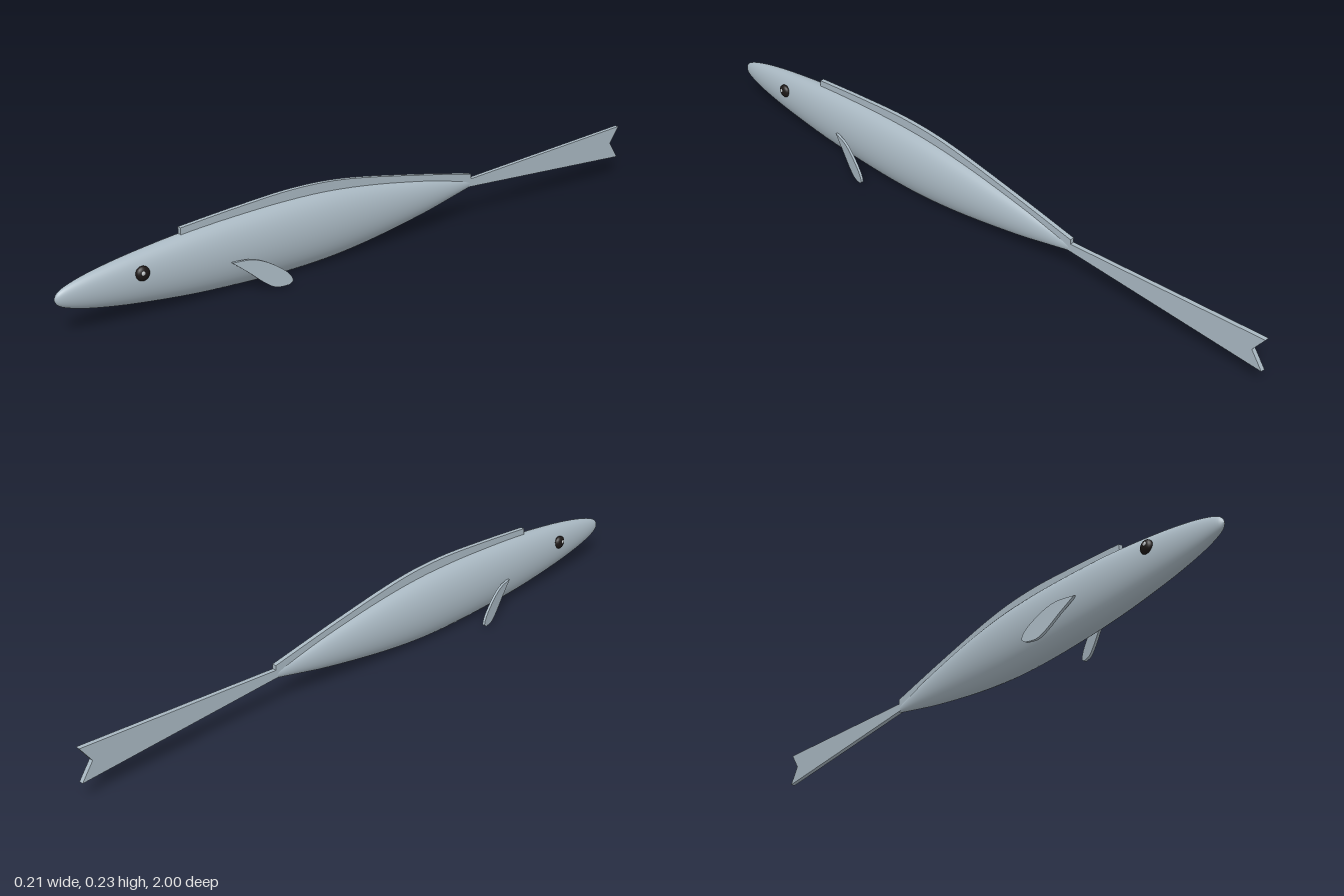
import * as THREE from 'three';

const skin = new THREE.MeshStandardMaterial({ color: 0xa9b8c2 });
skin.name = 'silver skin';
const dark = new THREE.MeshStandardMaterial({ color: 0x1c1716 });
dark.name = 'eye black';
const light = new THREE.MeshStandardMaterial({ color: 0xc4c8ca });
light.name = 'eye glint';

const MID_Y = 0.104;
const vectors = (list) => list.map(([a, b]) => new THREE.Vector2(a, b));

// Flat plate drawn in the (z, y) plane, centred on x = 0
function plate(shape, thickness, name) {
  const geometry = new THREE.ExtrudeGeometry(shape, { depth: thickness, bevelEnabled: false, curveSegments: 8 });
  geometry.translate(0, 0, -thickness / 2);
  geometry.rotateY(-Math.PI / 2);
  const mesh = new THREE.Mesh(geometry, skin);
  mesh.name = name;
  return mesh;
}

export function createModel() {
  const fish = new THREE.Group();
  fish.name = 'fish';

  // Body: turned profile (radius, z), narrowed sideways
  const profile = new THREE.SplineCurve(vectors([
    [0.006, -0.39], [0.028, -0.29], [0.051, -0.18], [0.08, 0], [0.096, 0.15], [0.1005, 0.28],
    [0.098, 0.42], [0.088, 0.6], [0.069, 0.77], [0.051, 0.88], [0.034, 0.95], [0.018, 0.988], [0, 1],
  ])).getPoints(48);
  profile.forEach((p) => { p.x = Math.max(p.x, 0); });
  profile.unshift(new THREE.Vector2(0, -0.39));
  const bodyGeometry = new THREE.LatheGeometry(profile, 40);
  bodyGeometry.rotateX(Math.PI / 2);
  bodyGeometry.scale(0.565, 1, 1);
  const body = new THREE.Mesh(bodyGeometry, skin);
  body.name = 'body';
  body.position.y = MID_Y;
  fish.add(body);

  // Long ridge fin along the back
  const ridge = new THREE.Shape();
  ridge.moveTo(0.635, 0.18);
  ridge.lineTo(0.635, 0.207);
  ridge.splineThru(vectors([[0.45, 0.222], [0.27, 0.231], [0.1, 0.221], [-0.13, 0.182], [-0.37, 0.134]]));
  ridge.lineTo(-0.37, 0.105);
  ridge.lineTo(-0.13, 0.15);
  ridge.lineTo(0.27, 0.19);
  ridge.closePath();
  fish.add(plate(ridge, 0.013, 'dorsalFin'));

  // Forked tail
  const tail = new THREE.Shape(vectors([
    [-0.36, 0.119], [-0.36, 0.096], [-1, 0.057], [-0.965, 0.108], [-1, 0.157],
  ]));
  fish.add(plate(tail, 0.013, 'tailFin'));

  for (const side of [1, -1]) {
    const label = side > 0 ? 'left' : 'right';

    // Leaf-shaped side fin, swept outward toward the rear
    const leaf = new THREE.Shape();
    leaf.moveTo(0.515, 0.096);
    leaf.splineThru(vectors([[0.46, 0.096], [0.415, 0.079], [0.37, 0.047], [0.355, 0.022], [0.366, 0.01]]));
    leaf.splineThru(vectors([[0.4, 0.009], [0.43, 0.026], [0.47, 0.06], [0.515, 0.096]]));
    const fin = plate(leaf, 0.008, label + 'SideFin');
    const points = fin.geometry.attributes.position;
    for (let i = 0; i < points.count; i++) {
      points.setX(i, points.getX(i) + side * (0.053 + (0.52 - points.getZ(i)) * 0.29));
    }
    fin.geometry.computeVertexNormals();
    fin.geometry.computeBoundingSphere();
    fish.add(fin);

    // Eye with a small glint
    const eye = new THREE.Mesh(new THREE.SphereGeometry(1, 20, 14), dark);
    eye.name = label + 'Eye';
    eye.scale.set(0.012, 0.02, 0.02);
    eye.position.set(side * 0.037, 0.127, 0.77);
    fish.add(eye);
    const glint = new THREE.Mesh(new THREE.SphereGeometry(1, 12, 8), light);
    glint.name = label + 'EyeGlint';
    glint.scale.set(0.003, 0.006, 0.006);
    glint.position.set(side * 0.0475, 0.131, 0.774);
    fish.add(glint);
  }
  return fish;
}
